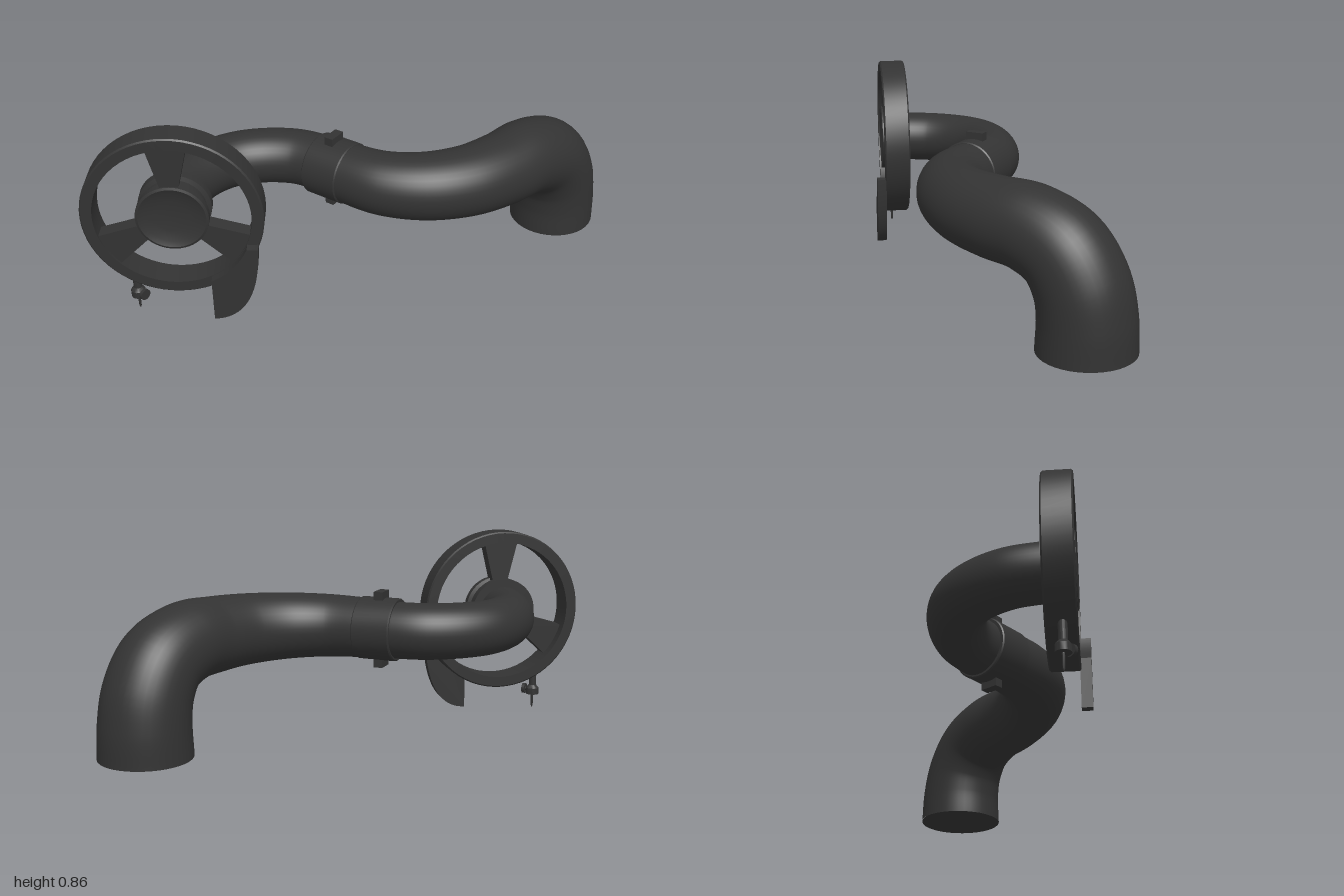
import * as THREE from 'three';
import { toCreasedNormals } from 'three/addons/utils/BufferGeometryUtils.js';

const dark = new THREE.MeshStandardMaterial({ color: 0x333333 });

function add(parent, name, geometry, x = 0, y = 0, z = 0) {
  const mesh = new THREE.Mesh(geometry, dark);
  mesh.name = name;
  mesh.position.set(x, y, z);
  parent.add(mesh);
  return mesh;
}

// Tube along a smooth path whose radius follows a function of arc length 0..1
function taperedTube(points, radiusAt, steps, sides) {
  const curve = new THREE.CatmullRomCurve3(points.map(p => new THREE.Vector3(...p)));
  const geo = new THREE.TubeGeometry(curve, steps, 1, sides);
  const pos = geo.attributes.position, v = new THREE.Vector3();
  for (let i = 0; i < pos.count; i++) {
    const t = Math.floor(i / (sides + 1)) / steps;
    const c = curve.getPointAt(t);
    v.fromBufferAttribute(pos, i).sub(c).multiplyScalar(radiusAt(t)).add(c);
    pos.setXYZ(i, v.x, v.y, v.z);
  }
  return geo;
}

// Turned part; profile runs [radius, height] from low to high on the outside
function turned(profile, sides = 48) {
  const geo = new THREE.LatheGeometry(profile.map(p => new THREE.Vector2(...p)), sides);
  return toCreasedNormals(geo, 0.5);
}

function plate(shape, depth, z) {
  const geo = new THREE.ExtrudeGeometry(shape, { depth, bevelEnabled: false, curveSegments: 20 });
  return toCreasedNormals(geo.translate(0, 0, z), 0.5);
}

function createWheel() {
  const wheel = new THREE.Group();
  wheel.name = 'wheel';

  // Rim and dished hub, axis along local z
  add(wheel, 'rim', turned([
    [0.318, -0.058], [0.362, -0.058], [0.368, -0.052], [0.368, 0.052],
    [0.362, 0.058], [0.318, 0.058], [0.318, -0.058],
  ], 64).rotateX(Math.PI / 2));
  add(wheel, 'hub', turned([
    [0, -0.07], [0.15, -0.07], [0.15, -0.03], [0.132, -0.025], [0.132, 0.02],
    [0.148, 0.025], [0.148, 0.056], [0.138, 0.06], [0.115, 0.05], [0.07, 0.042], [0, 0.038],
  ]).rotateX(Math.PI / 2));

  // Three flared spokes
  const spoke = new THREE.Shape([[-0.032, 0.12], [0.032, 0.12], [0.083, 0.328], [-0.083, 0.328]]
    .map(p => new THREE.Vector2(...p)));
  for (let i = 0; i < 3; i++) {
    add(wheel, 'spoke', plate(spoke, 0.065, -0.015)).rotation.z = i * Math.PI * 2 / 3;
  }

  // Guard fin hanging from the front of the rim
  const fin = new THREE.Shape();
  fin.moveTo(0.14, -0.485);
  fin.bezierCurveTo(0.24, -0.485, 0.335, -0.40, 0.339, -0.13);
  fin.lineTo(0.294, -0.13);
  fin.absarc(0, 0, 0.32, Math.atan2(-0.13, 0.294), Math.atan2(-0.288, 0.14), true);
  fin.lineTo(0.14, -0.485);
  add(wheel, 'guardFin', plate(fin, 0.042, 0.054));

  // Needle holder under the rim with a small clamping screw
  const holder = new THREE.Group();
  holder.name = 'needleHolder';
  holder.position.set(-0.187, -0.495, 0.005);
  holder.rotation.y = -0.707;
  wheel.add(holder);
  add(holder, 'needleStem', turned([
    [0, 0], [0.005, 0.012], [0.006, 0.07], [0.03, 0.07], [0.03, 0.1],
    [0.017, 0.115], [0.017, 0.2], [0, 0.2],
  ], 20));
  const turnX = g => g.rotateZ(Math.PI / 2);
  add(holder, 'screwShaft', turnX(new THREE.CylinderGeometry(0.009, 0.009, 0.04, 12)), 0.025, 0.092);
  add(holder, 'screwHead', turnX(new THREE.CylinderGeometry(0.024, 0.024, 0.014, 20)), 0.041, 0.092);

  wheel.position.set(-0.378, 0.495, 0.7175);
  wheel.rotation.y = 0.707;
  return wheel;
}

export function createModel() {
  const model = new THREE.Group();
  model.name = 'pipeArm';

  // Thick arm: rises from the base, bends forward and narrows to the joint
  const mainPath = [
    [0.5, 0.07, -0.81], [0.5, 0.2, -0.808], [0.5, 0.32, -0.782], [0.495, 0.43, -0.705],
    [0.48, 0.487, -0.56], [0.458, 0.492, -0.4], [0.4, 0.492, -0.23], [0.29, 0.491, -0.085],
    [0.14, 0.49, 0.01], [-0.02, 0.49, 0.042], [-0.1, 0.49, 0.05],
  ];
  add(model, 'mainPipe', taperedTube(mainPath,
    t => t < 0.2 ? 0.19 - t * 0.06 : THREE.MathUtils.lerp(0.178, 0.126, (t - 0.2) / 0.8), 72, 40));
  add(model, 'baseCap', new THREE.CircleGeometry(0.19, 40).rotateX(Math.PI / 2), 0.5, 0.07, -0.81);

  // Thin arm: hooks round from the joint to the back of the wheel
  const hookPath = [
    [-0.1, 0.49, 0.05], [-0.18, 0.49, 0.055], [-0.29, 0.49, 0.085], [-0.41, 0.49, 0.175],
    [-0.488, 0.49, 0.29], [-0.512, 0.49, 0.42], [-0.487, 0.49, 0.56], [-0.42, 0.493, 0.67],
    [-0.40, 0.495, 0.692],
  ];
  add(model, 'hookPipe', taperedTube(hookPath, t => THREE.MathUtils.lerp(0.122, 0.115, t), 56, 40));

  // Joint collar with a tab above and below
  const joint = new THREE.Group();
  joint.name = 'joint';
  joint.position.set(-0.095, 0.491, 0.05);
  joint.rotation.y = 0.1;
  model.add(joint);
  add(joint, 'collar', turned([
    [0.115, -0.085], [0.13, -0.085], [0.135, -0.08], [0.135, 0.08], [0.13, 0.085], [0.115, 0.085],
  ]).rotateZ(Math.PI / 2));
  for (const s of [-1, 1]) {
    add(joint, 'collarTab', new THREE.BoxGeometry(0.04, 0.045, 0.08), -0.005, s * 0.142, 0);
  }

  model.add(createWheel());
  return model;
}
